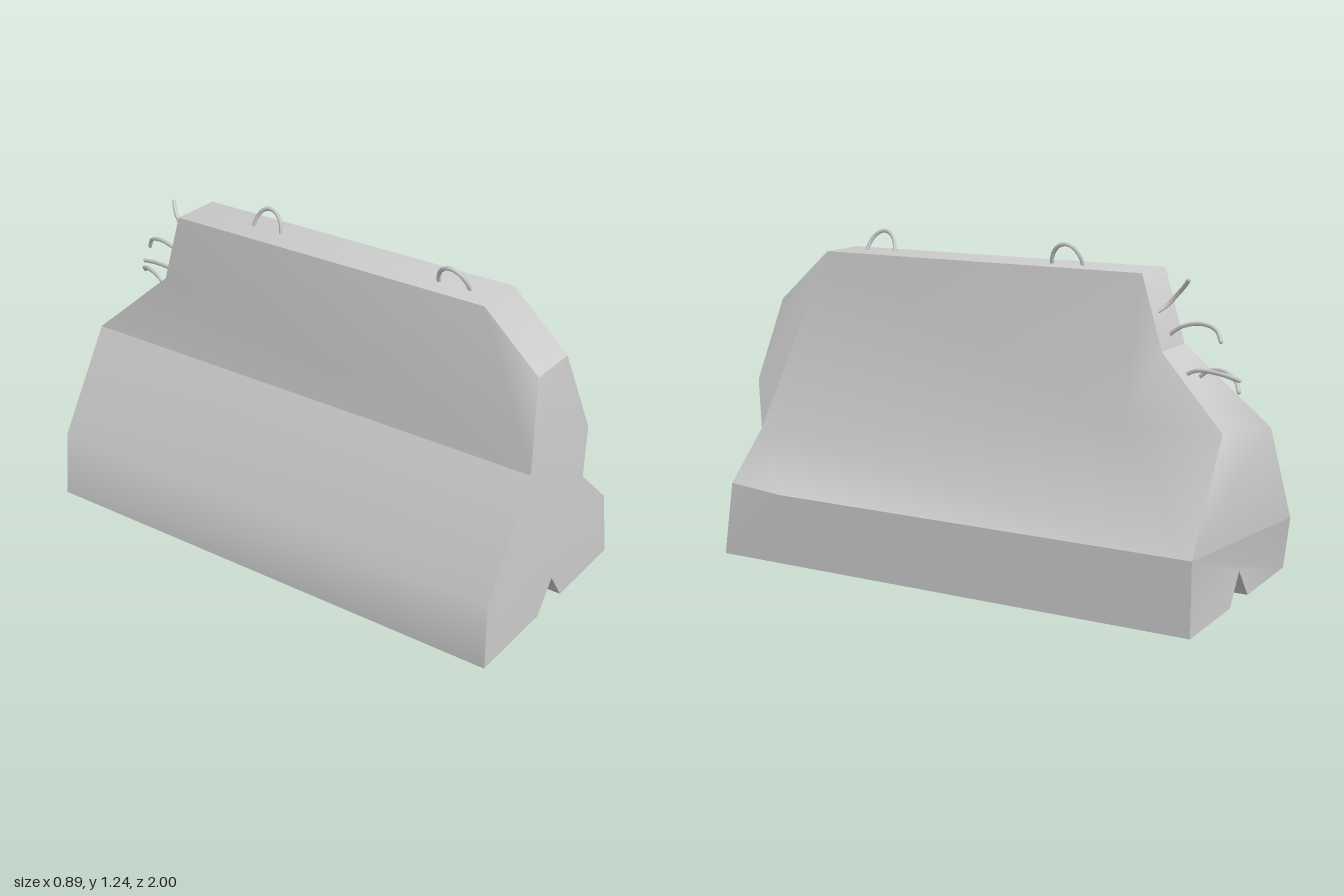
import * as THREE from 'three';

// Named corners of the concrete block: "f" front, "b" back, "L" -x side, "R" +x side
const P = {
  // foot and groove
  fL0: [-0.45, 0, 1], fGL: [-0.08, 0, 1], fG: [0.01, 0.115, 1], fGR: [0.09, 0, 1], fR0: [0.445, 0, 1],
  bL0: [-0.45, 0, -0.955], bGL: [-0.08, 0, -0.955], bG: [0.01, 0.115, -0.955], bGR: [0.09, 0, -0.955], bR0: [0.445, 0, -0.955],
  // top of the foot, with the chipped front corner
  fL1: [-0.45, 0.27, 1], bL1: [-0.38, 0.22, -1], fR1: [0.39, 0.27, 1], chip: [0.445, 0.27, 0.73], bR1: [0.445, 0.27, -0.955],
  dent: [0.195, 0.45, 1],
  // ridge between slope and upper wall
  fL2: [-0.205, 0.65, 1], bL2: [-0.14, 0.61, -1], fR2: [0.205, 0.65, 1], mR2: [0.205, 0.65, -0.58], bR2: [0.205, 0.65, -0.955],
  // broken ends and top
  fL3: [-0.1, 0.96, 0.95], fR3: [0.1, 0.96, 0.95], bL3: [-0.1, 0.89, -0.68], bR3: [0.1, 0.89, -0.68],
  fL4: [-0.1, 1.16, 0.73], fR4: [0.1, 1.16, 0.73], bL4: [-0.1, 1.16, -0.6], bR4: [0.1, 1.16, -0.6],
};

// Each surface is smooth within itself and meets its neighbours in a sharp edge.
// Faces are fans from their first corner.
const SURFACES = {
  rightFoot: ['fR0 bR0 bR1 chip fR1'],
  rightSlopeAndWall: ['dent fR1 chip bR1 mR2 fR4', 'mR2 bR1 bR2 bR3 bR4 fR4'],
  rightFrontChip: ['dent fR4 fR2', 'fR2 fR4 fR3'],
  leftFootAndSlope: ['bL0 fL0 fL1 bL1', 'fL1 fL2 bL2 bL1'],
  leftWall: ['fL2 fL3 fL4 bL4 bL3 bL2'],
  top: ['fR4 bR4 bL4 fL4', 'fL3 fR3 fR4 fL4', 'bR3 bL3 bL4 bR4'],
  brokenBack: ['bR1 bL1 bL2 bR2', 'bR2 bL2 bL3 bR3'],
  underside: ['fGL fL0 bL0 bGL', 'fG fGL bGL bG', 'fGR fG bG bGR', 'fR0 fGR bGR bR0'],
};

// Notched end faces: outlines counter-clockwise as seen from the front
const END_FACES = {
  frontEnd: { outline: 'fL0 fGL fG fGR fR0 fR1 dent fR2 fR3 fL3 fL2 fL1', flip: false },
  backEnd: { outline: 'bL0 bGL bG bGR bR0 bR1 bL1', flip: true },
};

function fanTriangles(fan) {
  const n = fan.split(' ');
  return n.slice(2).map((c, i) => [n[0], n[i + 1], c]);
}

function endTriangles({ outline, flip }) {
  const n = outline.split(' ');
  const points = n.map((k) => new THREE.Vector2(P[k][0], P[k][1]));
  return THREE.ShapeUtils.triangulateShape(points, [])
    .map(([a, b, c]) => (flip ? [n[a], n[c], n[b]] : [n[a], n[b], n[c]]));
}

// Shared corners give smooth normals inside one surface
function surfaceGeometry(triangles) {
  const names = [...new Set(triangles.flat())];
  const g = new THREE.BufferGeometry();
  g.setAttribute('position', new THREE.Float32BufferAttribute(names.flatMap((k) => P[k]), 3));
  g.setIndex(triangles.flat().map((k) => names.indexOf(k)));
  g.computeVertexNormals();
  return g;
}

export function createModel() {
  const group = new THREE.Group();
  const material = new THREE.MeshStandardMaterial({ color: 0xcccccc });

  // Concrete block
  const block = new THREE.Group();
  block.name = 'concreteBlock';
  group.add(block);
  const addSurface = (name, triangles) => {
    const mesh = new THREE.Mesh(surfaceGeometry(triangles), material);
    mesh.name = name;
    block.add(mesh);
  };
  for (const [name, fans] of Object.entries(SURFACES)) addSurface(name, fans.flatMap(fanTriangles));
  for (const [name, end] of Object.entries(END_FACES)) addSurface(name, endTriangles(end));

  // Steel bar along a path, closed by small round ends
  const bar = (name, points, radius = 0.008) => {
    const path = points.map((p) => new THREE.Vector3(...p));
    const rod = new THREE.Group();
    rod.name = name;
    rod.add(new THREE.Mesh(new THREE.TubeGeometry(new THREE.CatmullRomCurve3(path), 14, radius, 6), material));
    for (const p of [path[0], path[path.length - 1]]) {
      const end = new THREE.Mesh(new THREE.SphereGeometry(radius, 6, 4), material);
      end.position.copy(p);
      rod.add(end);
    }
    rod.children.forEach((m, i) => { m.name = i ? 'barEnd' : 'barShaft'; });
    group.add(rod);
  };

  // Lifting loops on the top, leaning to opposite sides
  const loop = (name, z, x, lean) => bar(name, [-1, -0.87, -0.5, 0, 0.5, 0.87, 1].map((t) => {
    const h = Math.sqrt(1 - t * t);
    return [x + lean * h, 1.145 + 0.09 * h, z + 0.065 * t];
  }));
  loop('frontLiftingLoop', 0.562, -0.01, -0.04);
  loop('backLiftingLoop', -0.26, 0, 0.024);

  // Bent bars sticking out of the broken end
  bar('upperBar', [[0.055, 1.015, -0.63], [0.022, 1.045, -0.665], [0.015, 1.08, -0.695], [0.03, 1.115, -0.73], [0.055, 1.14, -0.755]]);
  bar('middleBar', [[-0.005, 0.93, -0.655], [0, 0.968, -0.71], [0.008, 0.985, -0.79], [0.02, 0.968, -0.85], [0.03, 0.932, -0.87]]);
  bar('lowerBarLeft', [[0.07, 0.81, -0.755], [0.075, 0.832, -0.8], [0.09, 0.832, -0.89], [0.105, 0.818, -0.97]]);
  bar('lowerBarRight', [[0.005, 0.78, -0.765], [0.012, 0.822, -0.82], [0.03, 0.83, -0.88], [0.065, 0.81, -0.94], [0.105, 0.778, -0.97]]);

  return group;
}
